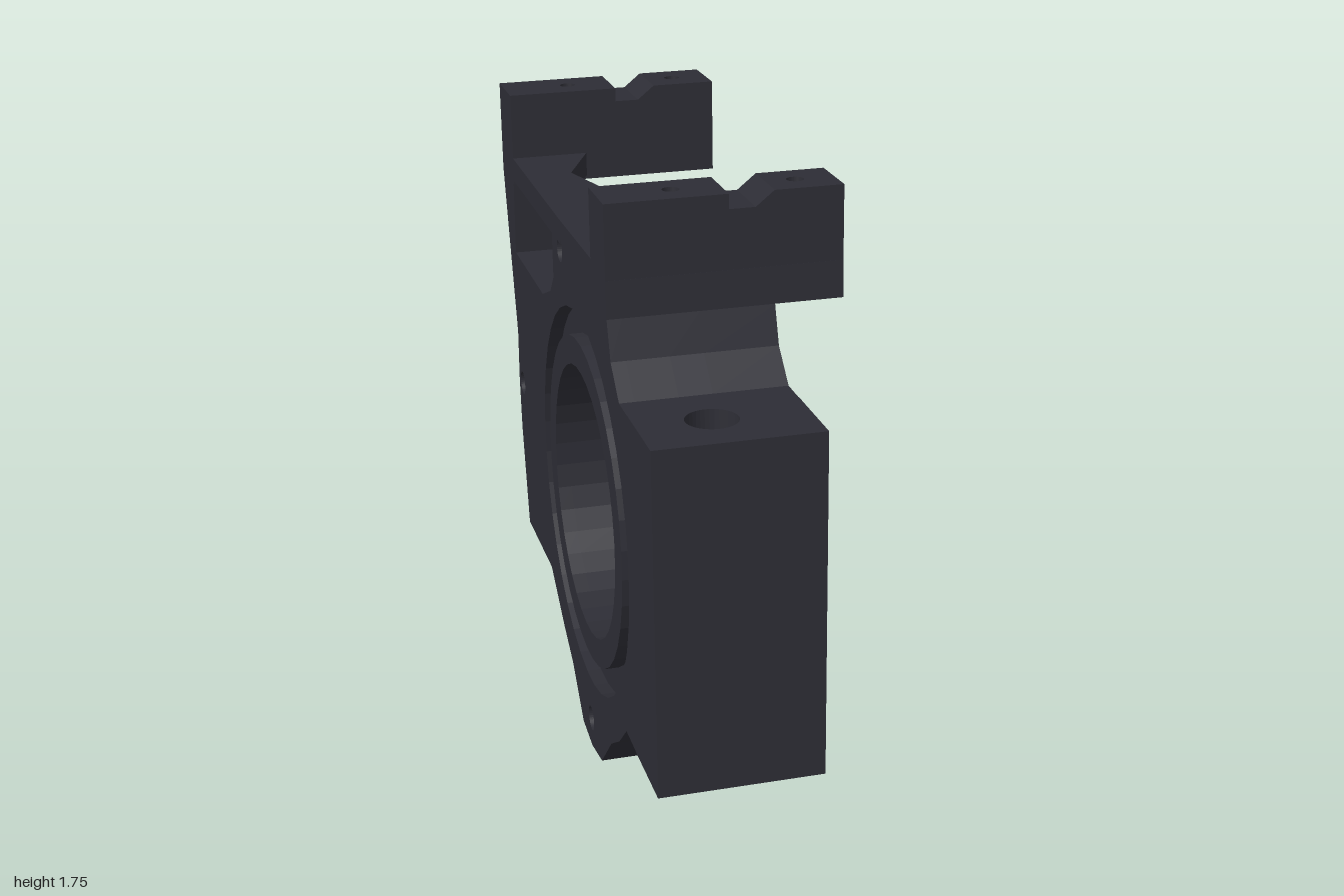
import * as THREE from 'three';

// Side profiles use (u, y) with u = -z; plan profiles use (x, u).
const TILT = -0.062;
const BACK = -0.315, FACE = 0.13, WIDE = 0.315;
const BORE = [-0.15, 0.774];

const outline = [
  [0.81, 1.17], [0.82, 0.92], [0.82, 0.74], [0.8, 0.58], [0.72, 0.275], [0.36, 0.298],
  [0.18, 0.19], [0.06, 0.13], [-0.08, 0.01], [-0.2, 0], [-0.33, 0.03], [-0.46, 0.17],
  [-0.56, 0.24], [-0.65, 0.33], [-0.767, 0.335], [-0.703, 1.28], [-0.61, 1.275],
  [-0.52, 1.35], [-0.48, 1.45], [-0.3, 1.55], [0.22, 1.51], [0.21, 1.31], [0.26, 1.25], [0.38, 1.195],
];
const pocketStart = [[0.395, 1.1], [0.315, 1.11]];
const pocketEnd = [
  [0.277, 0.434], [0.41, 0.425], [0.415, 0.337], [0.57, 0.33], [0.572, 0.41],
  [0.7, 0.4], [0.745, 1.08], [0.738, 1.173],
];
const boltHoles = (r) => [[0.11, 1.43, r], [0.76, 0.75, r], [-0.195, 0.09, r]];

// Counter-clockwise contour with clockwise round holes [a, b, radius]
function shapeOf(points, holes = []) {
  const contour = points.map(([a, b]) => new THREE.Vector2(a, b));
  if (THREE.ShapeUtils.isClockWise(contour)) contour.reverse();
  const shape = new THREE.Shape(contour);
  for (const [a, b, r] of holes) {
    shape.holes.push(new THREE.Path().absarc(a, b, r, 0, Math.PI * 2, true));
  }
  return shape;
}

const rect = (x0, x1, u0, u1) => [[x0, u0], [x1, u0], [x1, u1], [x0, u1]];

function extrude(shape, depth) {
  return new THREE.ExtrudeGeometry(shape, { depth, bevelEnabled: false, curveSegments: 18 });
}

export function createModel() {
  const model = new THREE.Group();
  const material = new THREE.MeshStandardMaterial({ color: 0x2d2d35 });

  function add(name, geometry, parent = model) {
    const mesh = new THREE.Mesh(geometry, material);
    mesh.name = name;
    parent.add(mesh);
    return mesh;
  }
  // Side profile extruded across the width, from x0 to x1
  function across(name, shape, x0, x1) {
    return add(name, extrude(shape, x1 - x0).rotateY(Math.PI / 2).translate(x0, 0, 0));
  }
  // Plan profile extruded upward along the tilted axis, from (z, y)
  function upright(name, shape, height, z, y) {
    add(name, extrude(shape, height).rotateX(-Math.PI / 2).rotateX(TILT).translate(0, y, z));
  }

  // Housing layers without the gear pocket; bolt holes are wider at the back
  across('housingBackRim', shapeOf(outline, [[...BORE, 0.55], ...boltHoles(0.036)]), BACK, -0.275);
  across('housingWeb', shapeOf(outline, [[...BORE, 0.388], ...boltHoles(0.02)]), -0.275, -0.16);

  // Raised collar around the bore on the back side
  const collar = new THREE.Shape().absarc(...BORE, 0.47, 0, Math.PI * 2, false);
  collar.holes.push(new THREE.Path().absarc(...BORE, 0.388, 0, Math.PI * 2, true));
  across('boreCollar', collar, BACK, -0.275);

  // Housing layers whose bore opens into the gear pocket
  function pocketLayer(name, radius, openAngle, x0, x1) {
    const arc = [];
    for (let i = 0; i <= 36; i++) {
      const a = THREE.MathUtils.degToRad(openAngle + (360 - 2 * openAngle) * i / 36);
      arc.push([BORE[0] + radius * Math.cos(a), BORE[1] + radius * Math.sin(a)]);
    }
    const contour = [...outline, ...pocketStart, ...arc, ...pocketEnd];
    return across(name, shapeOf(contour, boltHoles(0.02)), x0, x1);
  }
  pocketLayer('bearingSeat', 0.487, 25, -0.16, -0.07);
  const front = pocketLayer('counterbore', 0.57, 39, -0.07, FACE).geometry;

  // Pull in the upper rear corner to slant it toward the face
  const p = front.attributes.position;
  for (let i = 0; i < p.count; i++) {
    if (p.getX(i) > 0.1 && p.getZ(i) < -0.805 && p.getY(i) > 1.1) p.setZ(i, -0.785);
  }
  front.computeVertexNormals();

  // Concave linings that round the floor of the pocket
  function lining(name, r, height, u, y, innerLimit = 1) {
    const points = [[-0.165, r], [-0.165, -r]];
    for (let i = 0; i <= 24; i++) {
      const a = Math.PI * i / 24;
      const du = -r * Math.cos(a);
      const x = 0.055 - r * Math.sin(a);
      points.push([du < 0 ? Math.min(x, innerLimit) : x, du]);
    }
    upright(name, shapeOf(points), height, -u, y);
  }
  lining('pocketLining', 0.213, 0.676, 0.489, 0.418, -0.07);
  lining('pocketTopSeat', 0.177, 0.09, 0.556, 1.093);
  lining('pocketBottomSeat', 0.08, 0.085, 0.491, 0.334);

  // Front block with its vertical through hole and a small side plug
  upright('frontBlock', shapeOf(rect(BACK, FACE, 0, 0.245), [[-0.12, 0.16, 0.069]]), 0.95, 1.0, 0.348);
  add('sidePlug', new THREE.CylinderGeometry(0.021, 0.021, 0.006, 20)
    .rotateZ(Math.PI / 2).translate(FACE, 0.81, 0.84));

  // Mounting brackets: stepped top with a notch and two blind holes
  function bracket(name, z, y, height, depth) {
    const group = new THREE.Group();
    group.name = name;
    const top = height - 0.04;
    const body = shapeOf([
      [BACK, 0], [WIDE, 0], [WIDE, top], [FACE, top], [FACE, height], [0.08, top], [BACK, top],
    ]);
    add(name + 'Body', extrude(body, depth).translate(0, 0, -depth / 2), group);
    for (const [x0, x1, hole] of [[BACK, 0.01, -0.12], [FACE, WIDE, 0.21]]) {
      const pad = shapeOf(rect(x0, x1, -depth / 2, depth / 2), [[hole, 0, 0.023]]);
      add(name + 'Pad', extrude(pad, 0.04).rotateX(-Math.PI / 2).translate(0, top, 0), group);
    }
    group.rotation.x = TILT;
    group.position.set(0, y, z);
    model.add(group);
  }
  bracket('frontBracket', 0.39, 1.445, 0.3, 0.172);
  bracket('rearBracket', -0.893, 1.388, 0.275, 0.183);

  // Ledge behind the front bracket
  across('bracketLedge', shapeOf([[-0.48, 1.45], [-0.18, 1.435], [-0.18, 1.535], [-0.47, 1.55]]), BACK, WIDE);

  // Cut-out strut joining the housing to the rear bracket
  upright('strut', shapeOf([
    [BACK, 0.1], [FACE, 0.1], [FACE, 0.225], [-0.085, 0.23], [-0.18, 0.585], [-0.08, 0.82], [BACK, 0.82],
  ]), 0.07, 0, 1.455);

  // Tapered leg under the rear bracket
  across('rearLeg', shapeOf([[0.81, 0.9], [0.825, 0.915], [0.985, 1.39], [0.985, 1.42], [0.81, 1.43]]), BACK, -0.19);

  return model;
}
